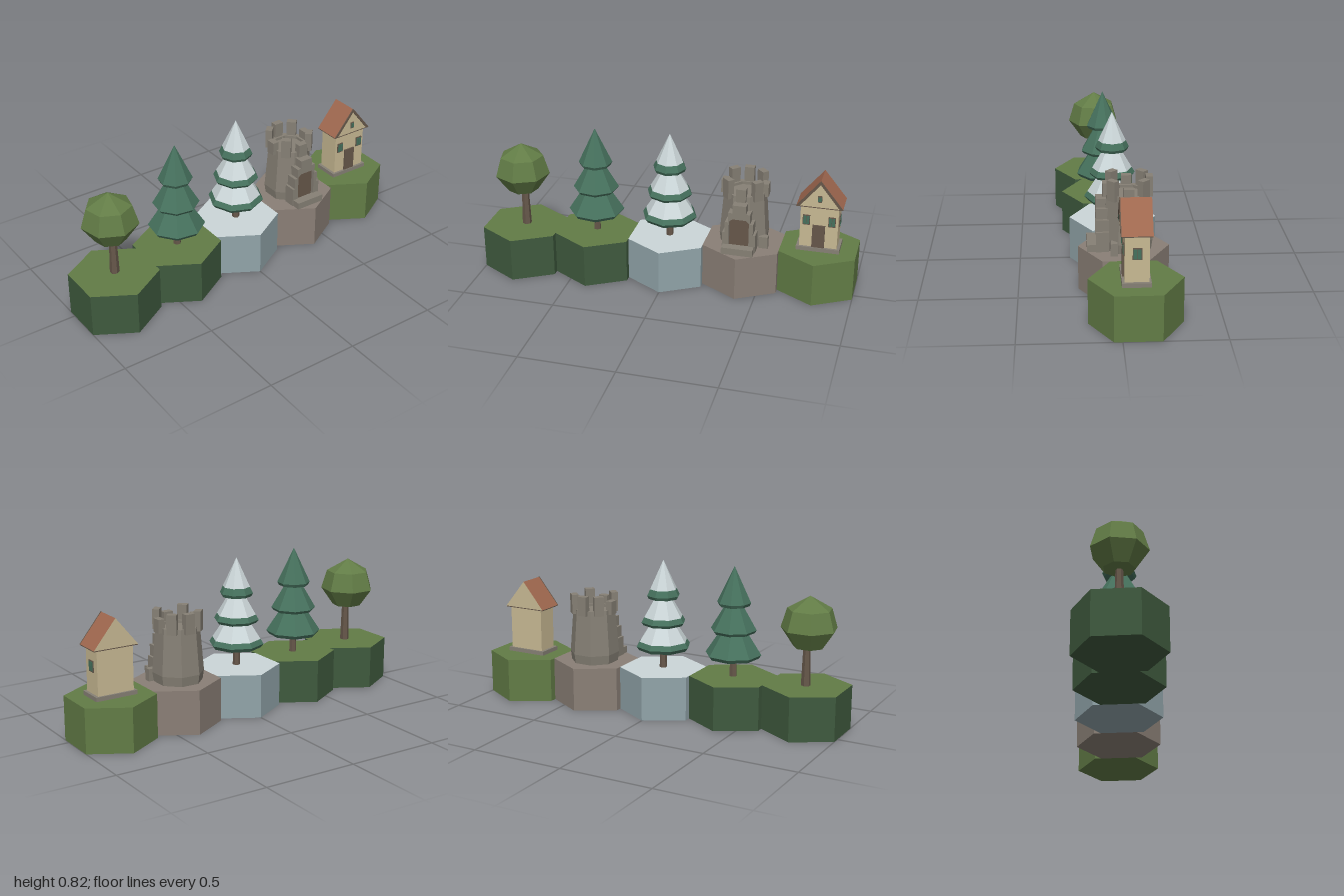
import * as THREE from 'three';

const mat = (name, color) => {
  const m = new THREE.MeshStandardMaterial({ color });
  m.name = name;
  return m;
};

// Faceted normals
const flat = (g) => {
  const f = g.index ? g.toNonIndexed() : g;
  f.computeVertexNormals();
  return f;
};

export function createModel() {
  const grass = mat('grass green', 0x627c46);
  const forest = mat('forest soil green', 0x3f5a3e);
  const pine = mat('pine green', 0x46715d);
  const snow = mat('snow', 0xcbd6d8);
  const ice = mat('ice blue', 0x91a4a9);
  const rock = mat('rock', 0x8a7f76);
  const stone = mat('stone', 0x868075);
  const plaster = mat('plaster', 0xc8b993);
  const roofRed = mat('roof red', 0xa0684f);
  const wood = mat('wood', 0x66574a);

  const model = new THREE.Group();
  const TOP = 0.235;

  const add = (parent, name, geo, material, x = 0, y = 0, z = 0) => {
    const m = new THREE.Mesh(geo, material);
    m.name = name;
    m.position.set(x, y, z);
    parent.add(m);
    return m;
  };
  const group = (name, x, z) => {
    const g = new THREE.Group();
    g.name = name;
    g.position.set(x, 0, z);
    model.add(g);
    return g;
  };
  // Box given by its bounds
  const box = (parent, name, material, x0, x1, y0, y1, z0, z1) =>
    add(parent, name, new THREE.BoxGeometry(x1 - x0, y1 - y0, z1 - z0), material,
      (x0 + x1) / 2, (y0 + y1) / 2, (z0 + z1) / 2);
  const lathe = (pts, sides) =>
    flat(new THREE.LatheGeometry(pts.map(([r, y]) => new THREE.Vector2(r, y)), sides));
  const polygon = (pts) => new THREE.Shape(pts.map(([x, y]) => new THREE.Vector2(x, y)));

  // Hexagonal tiles in a staggered row
  [[forest, grass], [forest, grass], [ice, snow], [rock, rock], [grass, grass]].forEach(([side, top], i) => {
    const g = flat(new THREE.CylinderGeometry(0.231, 0.231, TOP, 6));
    add(model, 'hexTile', g, [side, top, side], (i - 2) * 0.4, TOP / 2, (2 - i) * 0.037);
  });

  // Round tree
  const round = group('roundTree', -0.803, 0.071);
  add(round, 'trunk', lathe([[0.025, TOP], [0.018, 0.46]], 6), wood, 0.01);
  add(round, 'crown', lathe([[0, 0.44], [0.08, 0.44], [0.147, 0.535], [0.116, 0.637], [0, 0.705]], 7), grass);

  // Conifers: rim bottom, rim, snow line, top heights with rim and top radii
  const tiers = [
    { yb: 0.337, yr: 0.357, ys: 0.383, yt: 0.5, r: 0.148, rt: 0.055 },
    { yb: 0.472, yr: 0.488, ys: 0.515, yt: 0.635, r: 0.121, rt: 0.035 },
    { yb: 0.614, yr: 0.631, ys: 0.665, yt: 0.82, r: 0.089, rt: 0 },
  ];
  const conifer = (name, x, z, turn, snowy) => {
    const tree = group(name, x, z);
    tree.rotation.y = turn;
    add(tree, 'trunk', lathe([[0.02, TOP], [0.017, 0.35]], 6), wood);
    for (const { yb, yr, ys, yt, r, rt } of tiers) {
      const line = [r + (rt - r) * (ys - yr) / (yt - yr), ys];
      const rim = [[0, yb], [r * 0.9, yb], [r, yr]];
      add(tree, 'branchTier', lathe([...rim, snowy ? line : [rt, yt]], 8), pine);
      if (snowy) add(tree, 'snowCap', lathe([line, [rt, yt]], 8), snow);
    }
  };
  conifer('pineTree', -0.398, 0.037, 0.25, false);
  conifer('snowyPineTree', 0, 0.003, 0, true);

  // Castle tower
  const castle = group('castle', 0.397, -0.055);
  const tower = add(castle, 'tower',
    lathe([[0.127, TOP], [0.134, 0.285], [0.114, 0.53], [0.085, 0.53], [0.085, 0.515], [0, 0.515]], 8), stone);
  tower.rotation.y = Math.PI / 8;

  // Battlements, with shorter blocks at the front and sides
  for (let i = 0; i < 8; i++) {
    const a = i * Math.PI / 4;
    const top = [0, 2, 6].includes(i) ? 0.577 : 0.61;
    const m = add(castle, 'merlon', new THREE.BoxGeometry(0.052, top - 0.505, 0.036), stone,
      Math.sin(a) * 0.108, (top + 0.505) / 2, Math.cos(a) * 0.108);
    m.rotation.y = a;
  }

  // Stepped gatehouse with a door opening
  const half = [[0.088, TOP], [0.088, 0.34], [0.075, 0.34], [0.075, 0.4], [0.058, 0.4], [0.058, 0.455], [0.036, 0.455], [0.036, 0.5]];
  const gate = polygon([...half, ...half.map(([x, y]) => [-x, y]).reverse()]);
  const opening = [[-0.053, 0.25], [-0.053, 0.405], [-0.035, 0.42], [0.035, 0.42], [0.053, 0.405], [0.053, 0.25]];
  gate.holes.push(new THREE.Path(opening.map(([x, y]) => new THREE.Vector2(x, y))));
  add(castle, 'gatehouse', new THREE.ExtrudeGeometry(gate, { depth: 0.065, bevelEnabled: false }), stone, 0, 0, 0.095);
  box(castle, 'gateDoor', wood, -0.054, 0.054, 0.25, 0.421, 0.132, 0.14);
  box(castle, 'gateStep', stone, -0.083, 0.083, TOP, 0.272, 0.155, 0.205);
  box(castle, 'sideBlock', stone, 0.095, 0.142, TOP, 0.3, 0.055, 0.09);

  // House
  const house = group('house', 0.797, -0.07);
  box(house, 'foundation', stone, -0.114, 0.114, TOP, 0.257, -0.07, 0.07);
  box(house, 'walls', plaster, -0.099, 0.099, 0.257, 0.498, -0.06, 0.057);
  const gable = polygon([[-0.121, 0.495], [0.121, 0.495], [0, 0.643]]);
  add(house, 'roof', new THREE.ExtrudeGeometry(gable, { depth: 0.148, bevelEnabled: false }),
    [plaster, roofRed], 0, 0, -0.075);
  box(house, 'eaves', wood, -0.12, 0.12, 0.49, 0.495, -0.074, 0.073);

  // Gable trim boards
  for (const s of [-1, 1]) {
    const pts = [[0, 0.645], [0, 0.624], [s * 0.104, 0.495], [s * 0.122, 0.495]];
    add(house, 'gableTrim', new THREE.ExtrudeGeometry(polygon(pts), { depth: 0.005, bevelEnabled: false }),
      wood, 0, 0, 0.073);
  }

  // Door and windows
  box(house, 'door', wood, -0.033, 0.033, 0.257, 0.385, 0.057, 0.065);
  const windowPane = (x, y, z, w, h, turn) => {
    const g = new THREE.Group();
    g.name = 'window';
    g.position.set(x, y, z);
    g.rotation.y = turn;
    house.add(g);
    add(g, 'frame', new THREE.BoxGeometry(w, h, 0.006), wood);
    for (const s of [-1, 1])
      add(g, 'pane', new THREE.BoxGeometry(w * 0.38, h - 0.01, 0.004), pine, s * w * 0.22, 0, 0.003);
  };
  for (const s of [-1, 1]) windowPane(s * 0.067, 0.411, 0.059, 0.038, 0.056, 0);
  windowPane(0, 0.543, 0.075, 0.022, 0.036, 0);
  windowPane(0.101, 0.4, -0.002, 0.044, 0.058, Math.PI / 2);

  return model;
}
